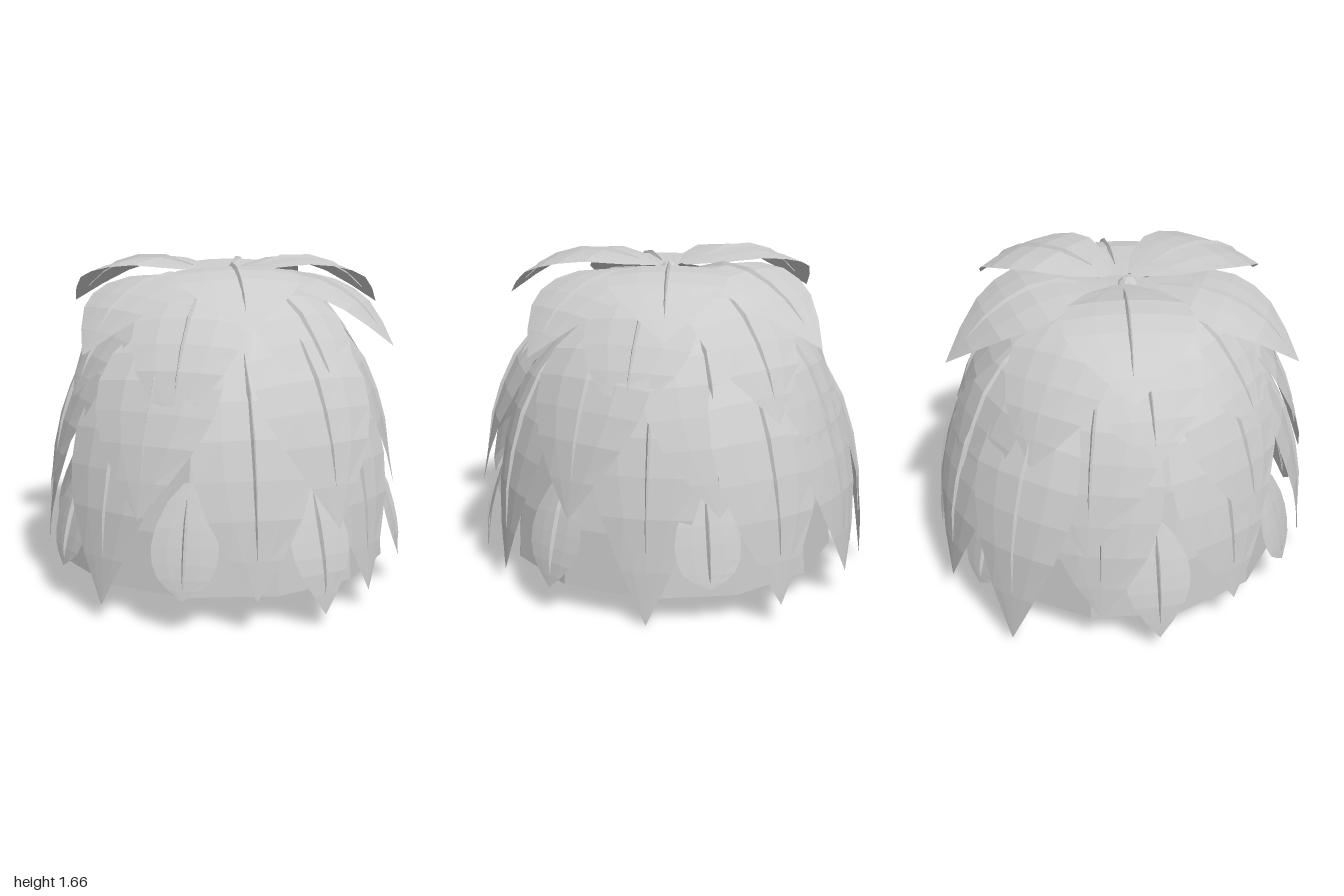
import * as THREE from 'three';

const material = new THREE.MeshStandardMaterial({ color: 0xcccccc, flatShading: true, side: THREE.DoubleSide });

// Half-width along a leaf, from base to pointed tip: [t, fraction]
const OUTLINE = [[0, 0.12], [0.12, 0.58], [0.28, 0.9], [0.42, 1], [0.56, 0.95], [0.7, 0.76], [0.85, 0.42], [1, 0.005]];
const RIB = [[0.1, 0.3], [0.25, 1], [0.42, 1], [0.58, 0.85], [0.72, 0.6], [0.86, 0.05]];

// Surface from a grid of points; fn(row, column) returns [x, y, z]
function gridSurface(rows, cols, fn) {
  const pos = [], index = [];
  for (let i = 0; i < rows; i++) {
    for (let j = 0; j < cols; j++) {
      pos.push(...fn(i, j));
      if (i < rows - 1 && j < cols - 1) {
        const a = i * cols + j, b = a + cols;
        index.push(a, b, a + 1, b, b + 1, a + 1);
      }
    }
  }
  const geo = new THREE.BufferGeometry();
  geo.setAttribute('position', new THREE.Float32BufferAttribute(pos, 3));
  geo.setIndex(index);
  geo.computeVertexNormals();
  return geo;
}

// One leaf: path is a list of [radius, height], az its compass angle (0 = front, 90 = left)
function makeLeaf(name, path, halfWidth, az, curl) {
  const curve = new THREE.CatmullRomCurve3(path.map(([r, y]) => new THREE.Vector3(0, y, r)));
  // Point at distance t along the leaf, x across it, h above its surface
  const at = (t, x, h) => {
    const p = curve.getPoint(t), d = curve.getTangent(t);
    return [x, p.y + d.z * h, p.z - d.y * h];
  };
  const blade = gridSurface(OUTLINE.length, 5, (i, j) => {
    const [t, f] = OUTLINE[i];
    const x = (j / 2 - 1) * halfWidth * f;
    return at(t, x, -curl * x * x);
  });
  const rib = gridSurface(RIB.length, 3, (i, j) => {
    const [t, f] = RIB[i];
    return at(t, (j - 1) * 0.012 * f, j === 1 ? 0.018 * f : -0.004);
  });
  const leaf = new THREE.Group();
  leaf.name = name;
  const bladeMesh = new THREE.Mesh(blade, material);
  bladeMesh.name = 'blade';
  const ribMesh = new THREE.Mesh(rib, material);
  ribMesh.name = 'rib';
  leaf.add(bladeMesh, ribMesh);
  leaf.rotation.y = THREE.MathUtils.degToRad(az);
  return leaf;
}

export function createModel() {
  const model = new THREE.Group();
  model.name = 'leafMound';

  // Twelve-sided dome under the leaves, flat at the bottom
  const profile = [[0, 0.13], [0.84, 0.13], [0.82, 0.42], [0.74, 0.8], [0.61, 1.15], [0.4, 1.42], [0.14, 1.55], [0, 1.56]];
  const core = new THREE.Mesh(new THREE.LatheGeometry(profile.map(([r, y]) => new THREE.Vector2(r, y)), 12), material);
  core.name = 'core';
  model.add(core);

  // Bud at the crown
  const bud = new THREE.Mesh(new THREE.SphereGeometry(0.06, 8, 6), material);
  bud.name = 'bud';
  bud.position.set(-0.02, 1.54, 0.03);
  model.add(bud);

  // Hanging tiers, lowest first; each leaf is [angle, tip height, radius factor]
  const tiers = [
    { name: 'bottomLeaf', width: 0.16, path: [[0.79, 0.69], [0.87, 0.46], [0.915, 0.28], [0.93, 0.1]],
      leaves: [[1, 0.17, 1], [-46, 0.18, 0.97], [41, 0.065, 1.02], [89, 0.14, 1], [140, 0.2, 0.93], [-158, 0.2, 0.97], [-98, 0.08, 1]] },
    { name: 'lowerLeaf', width: 0.29, path: [[0.5, 1.36], [0.76, 1.0], [0.89, 0.58], [0.93, 0.1]],
      leaves: [[21, 0.17, 1], [-25, 0.08, 0.98], [62, 0.09, 0.98], [120, 0, 0.9], [160, 0.11, 1], [-171, 0.13, 1],
        [-142, 0.03, 1.04], [-116, 0.2, 0.97], [-72, 0.18, 0.98]] },
    { name: 'middleLeaf', width: 0.32, path: [[0.4, 1.47], [0.68, 1.22], [0.83, 0.9], [0.91, 0.55]],
      leaves: [[-12, 0.53, 1], [45, 0.47, 1.05], [95, 0.5, 0.98], [143, 0.55, 0.93], [-170, 0.55, 0.97], [-120, 0.55, 0.98], [-62, 0.55, 0.98]] },
    { name: 'upperLeaf', width: 0.28, path: [[0.14, 1.57], [0.48, 1.47], [0.7, 1.22], [0.81, 0.94]],
      leaves: [[-4, 0.92, 1], [52, 1.0, 1.02], [112, 0.98, 0.96], [165, 0.95, 0.98], [-140, 0.95, 1], [-98, 1.0, 1.01], [-54, 1.0, 0.98]] },
  ];
  for (const { name, width, path, leaves } of tiers) {
    const tier = new THREE.Group();
    tier.name = name + 'Tier';
    for (const [az, tipY, factor] of leaves) {
      // The mound is a little deeper than it is wide
      const k = factor * (1 + 0.07 * Math.cos(THREE.MathUtils.degToRad(az)) ** 2);
      const points = path.map(([r, y], i) => [r * k, i === 3 ? tipY : y]);
      tier.add(makeLeaf(name, points, width, az, 0.5));
    }
    model.add(tier);
  }

  // Spreading crown leaves: [angle, half-width, path]
  const crown = new THREE.Group();
  crown.name = 'crown';
  const raised = [[0.07, 1.585], [0.42, 1.645], [0.7, 1.57], [0.91, 1.39]];
  const drooping = [[0.07, 1.57], [0.45, 1.58], [0.7, 1.47], [0.9, 1.25]];
  const spread = [
    [19, 0.3, raised], [-106, 0.31, raised], [126, 0.28, raised],
    [180, 0.32, [[0.07, 1.57], [0.4, 1.62], [0.66, 1.51], [0.9, 1.28]]],
    [80, 0.29, drooping], [-35, 0.3, drooping],
  ];
  for (const [az, width, path] of spread) crown.add(makeLeaf('crownLeaf', path, width, az, 0.3));
  model.add(crown);

  return model;
}
